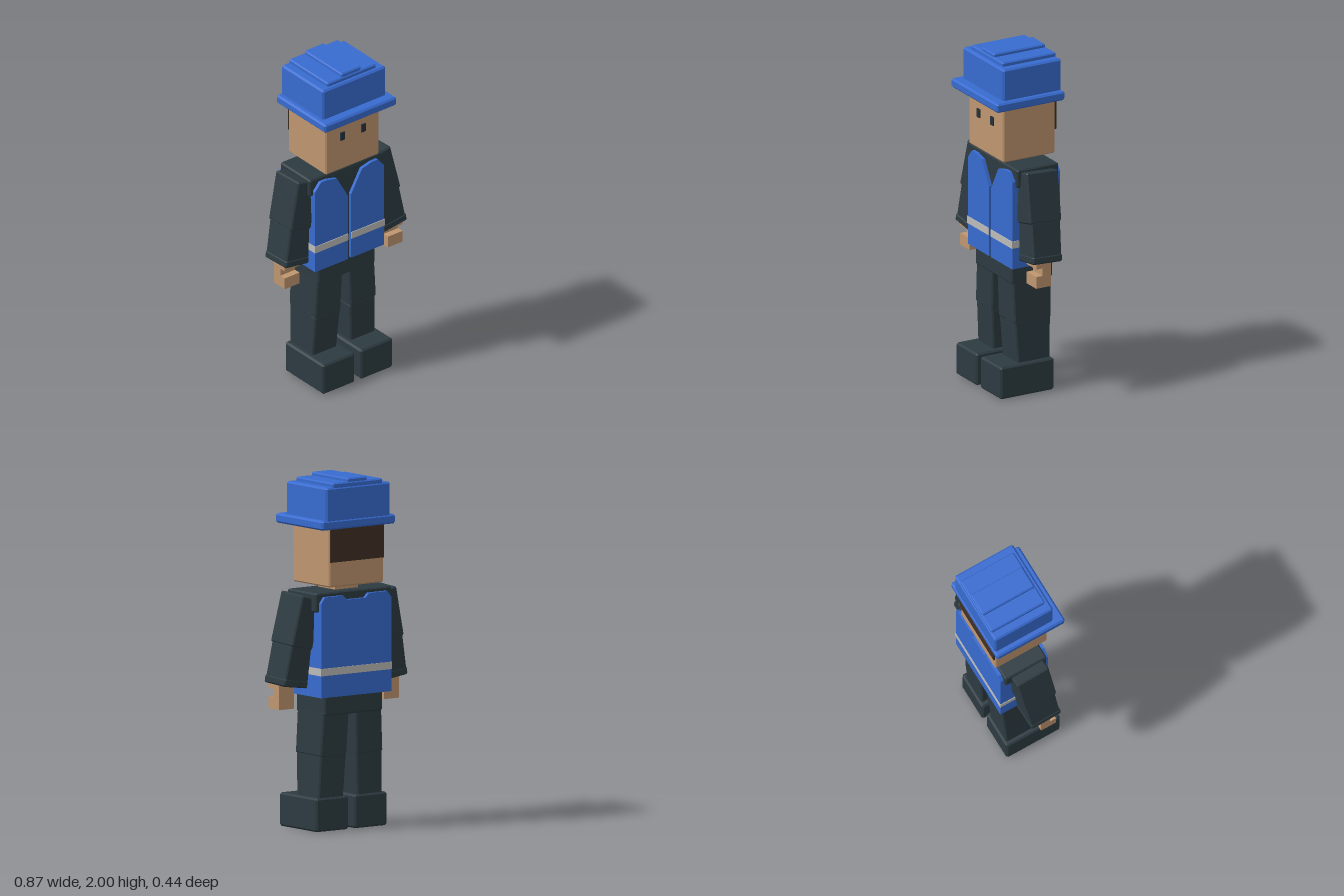
import * as THREE from 'three';
import { ConvexGeometry } from 'three/addons/geometries/ConvexGeometry.js';

const material = (name, color) => {
  const m = new THREE.MeshStandardMaterial({ color });
  m.name = name;
  return m;
};

// Box with chamfered edges; the bottom may have its own width and depth.
function chamferBox(w, h, d, bevel = 0.01, bottomW = w, bottomD = d) {
  const points = [];
  for (const sx of [-1, 1]) for (const sy of [-1, 1]) for (const sz of [-1, 1]) {
    const x = (sy > 0 ? w : bottomW) / 2, y = h / 2, z = (sy > 0 ? d : bottomD) / 2;
    for (const [a, b, c] of [[0, 1, 1], [1, 0, 1], [1, 1, 0]]) {
      points.push(new THREE.Vector3(sx * (x - a * bevel), sy * (y - b * bevel), sz * (z - c * bevel)));
    }
  }
  return new ConvexGeometry(points);
}

// Flat outline in x and y, extruded along z.
function plate(points, depth) {
  const shape = new THREE.Shape(points.map(([x, y]) => new THREE.Vector2(x, y)));
  return new THREE.ExtrudeGeometry(shape, { depth, bevelEnabled: false });
}

export function createModel() {
  const model = new THREE.Group();
  model.name = 'worker';
  const blue = material('safety blue', 0x376bd0);
  const dark = material('dark cloth', 0x2d3b41);
  const skin = material('skin', 0xbf966f);
  const hairBrown = material('hair brown', 0x403024);
  const silver = material('reflective silver', 0xbcbcba);
  const eyeDark = material('eye dark', 0x26323a);

  const add = (name, geometry, mat, parent = model) => {
    const mesh = new THREE.Mesh(geometry, mat);
    mesh.name = name;
    parent.add(mesh);
    return mesh;
  };
  // Box given by its extents; bevel 0 gives sharp edges.
  const block = (name, [x0, x1], [y0, y1], [z0, z1], mat, bevel = 0.008, parent = model) => {
    const [w, h, d] = [x1 - x0, y1 - y0, z1 - z0];
    const geometry = bevel ? chamferBox(w, h, d, bevel) : new THREE.BoxGeometry(w, h, d);
    const mesh = add(name, geometry, mat, parent);
    mesh.position.set((x0 + x1) / 2, (y0 + y1) / 2, (z0 + z1) / 2);
    return mesh;
  };
  // Tapered limb from its top point to its bottom point.
  const limb = (name, top, bottom, topSize, bottomSize, parent) => {
    const a = new THREE.Vector3(...top), b = new THREE.Vector3(...bottom);
    const axis = a.clone().sub(b);
    const geometry = chamferBox(topSize[0], axis.length(), topSize[1], 0.008, ...bottomSize);
    const mesh = add(name, geometry, dark, parent);
    mesh.position.copy(a).add(b).multiplyScalar(0.5);
    mesh.quaternion.setFromUnitVectors(new THREE.Vector3(0, 1, 0), axis.normalize());
    return mesh;
  };

  // Hat
  const hat = new THREE.Group();
  hat.name = 'hat';
  model.add(hat);
  block('hatBrim', [-0.258, 0.258], [1.718, 1.772], [-0.223, 0.22], blue, 0.01, hat);
  block('hatCrown', [-0.226, 0.226], [1.76, 1.957], [-0.218, 0.161], blue, 0.01, hat);
  block('hatTopStep', [-0.175, 0.175], [1.94, 1.98], [-0.212, 0.137], blue, 0.007, hat);
  block('hatRidge', [-0.07, 0.07], [1.965, 2.0], [-0.206, 0.131], blue, 0.007, hat);

  // Head
  block('head', [-0.192, 0.192], [1.388, 1.73], [-0.197, 0.142], skin);
  block('hair', [-0.188, 0.188], [1.53, 1.722], [-0.206, -0.197], hairBrown, 0);
  block('neck', [-0.08, 0.08], [1.34, 1.4], [-0.105, 0.055], skin, 0);
  for (const s of [-1, 1]) {
    block('eye', [s * 0.075 - 0.015, s * 0.075 + 0.015], [1.58, 1.63], [0.141, 0.15], eyeDark, 0);
  }

  // Shirt and hips
  block('shirt', [-0.238, 0.238], [0.772, 1.34], [-0.175, 0.095], dark, 0);
  block('shoulderYoke', [-0.268, 0.268], [1.25, 1.358], [-0.175, 0.094], dark);
  block('hips', [-0.205, 0.205], [0.657, 0.78], [-0.172, 0.093], dark);

  // Vest: two front panels, sides, and a back with a neck notch
  const vest = new THREE.Group();
  vest.name = 'vest';
  model.add(vest);
  for (const s of [-1, 1]) {
    const outline = [[0.012, 0.765], [0.247, 0.765], [0.247, 1.285], [0.205, 1.335],
      [0.16, 1.335], [0.09, 1.318], [0.012, 1.18]];
    add('vestFront', plate(outline.map(([x, y]) => [s * x, y]), 0.025), blue, vest).position.z = 0.09;
    block('vestSide', s > 0 ? [0.23, 0.247] : [-0.247, -0.23], [0.765, 1.27], [-0.194, 0.113], blue, 0, vest);
    block('frontStripe', s > 0 ? [0.012, 0.25] : [-0.25, -0.012], [0.89, 0.932], [0.112, 0.119], silver, 0, vest);
    block('sideStripe', s > 0 ? [0.244, 0.25] : [-0.25, -0.244], [0.89, 0.932], [-0.199, 0.119], silver, 0, vest);
  }
  const half = [[0.247, 0.765], [0.247, 1.3], [0.22, 1.335], [0.09, 1.335], [0.065, 1.31]];
  const back = [...half, ...half.map(([x, y]) => [-x, y]).reverse()];
  add('vestBack', plate(back, 0.025), blue, vest).position.z = -0.196;
  block('backStripe', [-0.25, 0.25], [0.89, 0.932], [-0.199, -0.193], silver, 0, vest);

  // C-shaped grip outline, as (z, y)
  const grip = [[-0.035, 0.695], [0.062, 0.695], [0.062, 0.765], [0.022, 0.765],
    [0.022, 0.81], [0.062, 0.81], [0.062, 0.85], [-0.035, 0.85]];

  for (const s of [-1, 1]) {
    const side = s > 0 ? 'left' : 'right';

    // Arm
    const arm = new THREE.Group();
    arm.name = side + 'Arm';
    model.add(arm);
    limb('upperArm', [s * 0.258, 1.335, -0.032], [s * 0.323, 1.05, -0.018], [0.15, 0.205], [0.15, 0.205], arm);
    limb('forearm', [s * 0.32, 1.065, -0.02], [s * 0.349, 0.85, -0.008], [0.142, 0.19], [0.165, 0.185], arm);
    limb('cuff', [s * 0.348, 0.872, -0.008], [s * 0.354, 0.828, -0.006], [0.168, 0.192], [0.168, 0.192], arm);
    const hand = add('hand', plate(grip.map(([z, y]) => [-z, y]), 0.106), skin, arm);
    hand.rotation.y = Math.PI / 2;
    hand.position.x = s * 0.37 - 0.053;

    // Leg
    const leg = new THREE.Group();
    leg.name = side + 'Leg';
    model.add(leg);
    limb('thigh', [s * 0.111, 0.74, -0.04], [s * 0.128, 0.42, -0.036], [0.18, 0.25], [0.185, 0.238], leg);
    limb('shin', [s * 0.126, 0.432, -0.037], [s * 0.138, 0.17, -0.04], [0.18, 0.23], [0.174, 0.208], leg);
    block('boot', s > 0 ? [0.021, 0.25] : [-0.25, -0.021], [0, 0.19], [-0.156, 0.192], dark, 0.01, leg);
  }
  return model;
}
